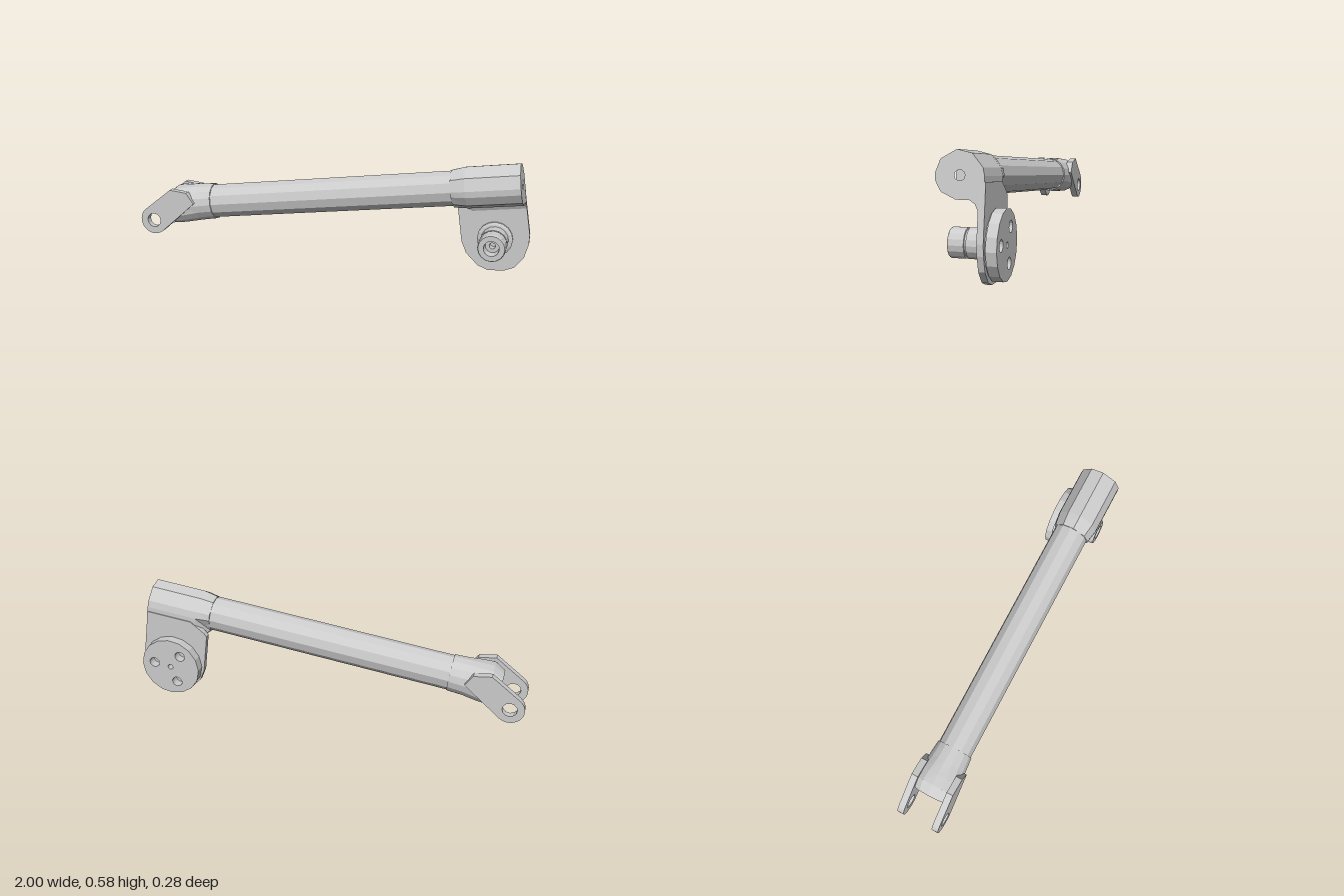
import * as THREE from 'three';

const mat = new THREE.MeshStandardMaterial({ color: 0xcccccc, flatShading: true });

function add(parent, name, geo) {
  const m = new THREE.Mesh(geo, mat);
  m.name = name;
  parent.add(m);
  return m;
}

const shapeOf = pts => new THREE.Shape(pts.map(([x, y]) => new THREE.Vector2(x, y)));

function hole(shape, x, y, r) {
  const p = new THREE.Path();
  p.absarc(x, y, r, 0, Math.PI * 2, true);
  shape.holes.push(p);
}

// flat outline in x-y, filling z0..z1
function slab(shape, z0, z1, seg = 6) {
  const g = new THREE.ExtrudeGeometry(shape, { depth: z1 - z0, bevelEnabled: false, curveSegments: seg });
  return g.translate(0, 0, z0);
}

// capped skin over rings of [x, y, z], running along +x
function loft(rings) {
  const n = rings[0].length, pos = [];
  const tri = (a, b, c) => pos.push(...a, ...b, ...c);
  const mid = r => [0, 1, 2].map(k => r.reduce((s, p) => s + p[k], 0) / n);
  const first = rings[0], last = rings[rings.length - 1];
  const c0 = mid(first), c1 = mid(last);
  for (let j = 0; j < n; j++) {
    const k = (j + 1) % n;
    for (let i = 0; i < rings.length - 1; i++) {
      const a = rings[i], b = rings[i + 1];
      tri(a[j], b[j], a[k]);
      tri(b[j], b[k], a[k]);
    }
    tri(c0, first[j], first[k]);
    tri(c1, last[k], last[j]);
  }
  const g = new THREE.BufferGeometry();
  g.setAttribute('position', new THREE.Float32BufferAttribute(pos, 3));
  g.computeVertexNormals();
  return g;
}

export function createModel() {
  const model = new THREE.Group();
  model.name = 'linkArm';

  // sloping arm, built along its own x axis
  const arm = new THREE.Group();
  arm.name = 'arm';
  arm.position.set(0, 0.35, 0.026);
  arm.rotation.z = Math.atan(0.13);
  model.add(arm);
  add(arm, 'tube', new THREE.CylinderGeometry(0.088, 0.088, 1.4, 12).rotateZ(Math.PI / 2));

  // bracket sleeve: constant section [z, y] with a bolt hole, narrowing to the tube
  const section = [
    [0.015, 0.106], [-0.05, 0.092], [-0.098, 0.035], [-0.106, 0], [-0.109, -0.14],
    [-0.08, -0.14], [-0.068, -0.115], [-0.045, -0.1], [0.015, -0.1],
    [0.08, -0.07], [0.105, -0.025], [0.107, 0.005], [0.085, 0.065]
  ];
  const sleeve = shapeOf(section.map(([z, y]) => [-z, y]));
  hole(sleeve, 0, 0, 0.023);
  add(arm, 'bracketSleeve', slab(sleeve, 0.7, 0.963, 5).rotateY(Math.PI / 2));
  const neck = section.map(([z, y]) => {
    const f = 0.094 / Math.hypot(z, y);
    return [0.63, y * f, z * f];
  });
  add(arm, 'bracketNeck', loft([neck, section.map(([z, y]) => [0.7, y, z])]));

  // fork body: round at the tube, squarer and leaning at the fork root
  const stations = [
    // x, half width, top, bottom, squareness, lean
    [-0.864, 0.098, 0.064, -0.1, 0.75, -0.24],
    [-0.824, 0.107, 0.097, -0.1, 0.75, 0],
    [-0.77, 0.107, 0.098, -0.099, 0.85, 0],
    [-0.7, 0.1, 0.096, -0.096, 1, 0],
    [-0.622, 0.093, 0.093, -0.093, 1, 0]
  ];
  const soft = (t, k) => Math.sign(t) * Math.abs(t) ** k;
  const N = 16;
  add(arm, 'forkBody', loft(stations.map(([x, w, top, bot, k, lean]) =>
    Array.from({ length: N }, (_, j) => {
      const a = (j / N) * Math.PI * 2;
      const y = (top + bot) / 2 + soft(Math.sin(a), k) * (top - bot) / 2;
      return [x + lean * y, y, soft(Math.cos(a), k) * w];
    }))));

  // two fork lugs with pin eyes
  const lug = new THREE.Shape();
  lug.moveTo(-0.7, 0.275);
  lug.lineTo(-0.74, 0.33);
  lug.lineTo(-0.83, 0.34);
  lug.absarc(-0.928, 0.17, 0.073, 2.27, 5.4, false);
  lug.lineTo(-0.75, 0.23);
  lug.closePath();
  hole(lug, -0.928, 0.17, 0.037);
  add(model, 'rightForkLug', slab(lug, -0.087, -0.053));
  add(model, 'leftForkLug', slab(lug, 0.105, 0.139));

  // hanging plate below the bracket
  const plate = shapeOf([
    [0.636, 0.345], [0.665, 0.14], [0.69, 0.08], [0.75, 0.02], [0.8, 0], [0.88, 0.004],
    [0.93, 0.025], [0.975, 0.08], [0.995, 0.15], [0.997, 0.2], [0.967, 0.385],
    [0.958, 0.45], [0.72, 0.42], [0.65, 0.365]
  ]);
  add(model, 'plate', slab(plate, -0.085, -0.056));

  // rear disc with three bolt holes and a centre hole
  const cx = 0.83, cy = 0.167;
  const disc = new THREE.Shape();
  disc.absarc(cx, cy, 0.157, 0, Math.PI * 2, false);
  hole(disc, cx, cy, 0.014);
  for (let i = 0; i < 3; i++) {
    const a = THREE.MathUtils.degToRad(10 + 120 * i);
    hole(disc, cx + 0.09 * Math.cos(a), cy + 0.09 * Math.sin(a), 0.027);
  }
  add(model, 'disc', slab(disc, -0.138, -0.09, 8));
  const seat = add(model, 'discSeat',
    new THREE.CylinderGeometry(0.15, 0.15, 0.01, 16).rotateX(Math.PI / 2));
  seat.position.set(cx, cy, -0.086);

  // stepped, grooved pin with a hollow end
  const profile = [
    [0.088, -0.062], [0.088, -0.046], [0.078, -0.04], [0.068, -0.038], [0.068, 0.024],
    [0.06, 0.025], [0.06, 0.033], [0.068, 0.034], [0.068, 0.1], [0.064, 0.107],
    [0.038, 0.107], [0.034, 0.06], [0.015, 0.06], [0.015, 0.02], [0, 0.02]
  ].map(([r, z]) => new THREE.Vector2(r, z));
  const pin = add(model, 'pin', new THREE.LatheGeometry(profile, 16).rotateX(Math.PI / 2));
  pin.position.set(cx, cy, 0);

  return model;
}
